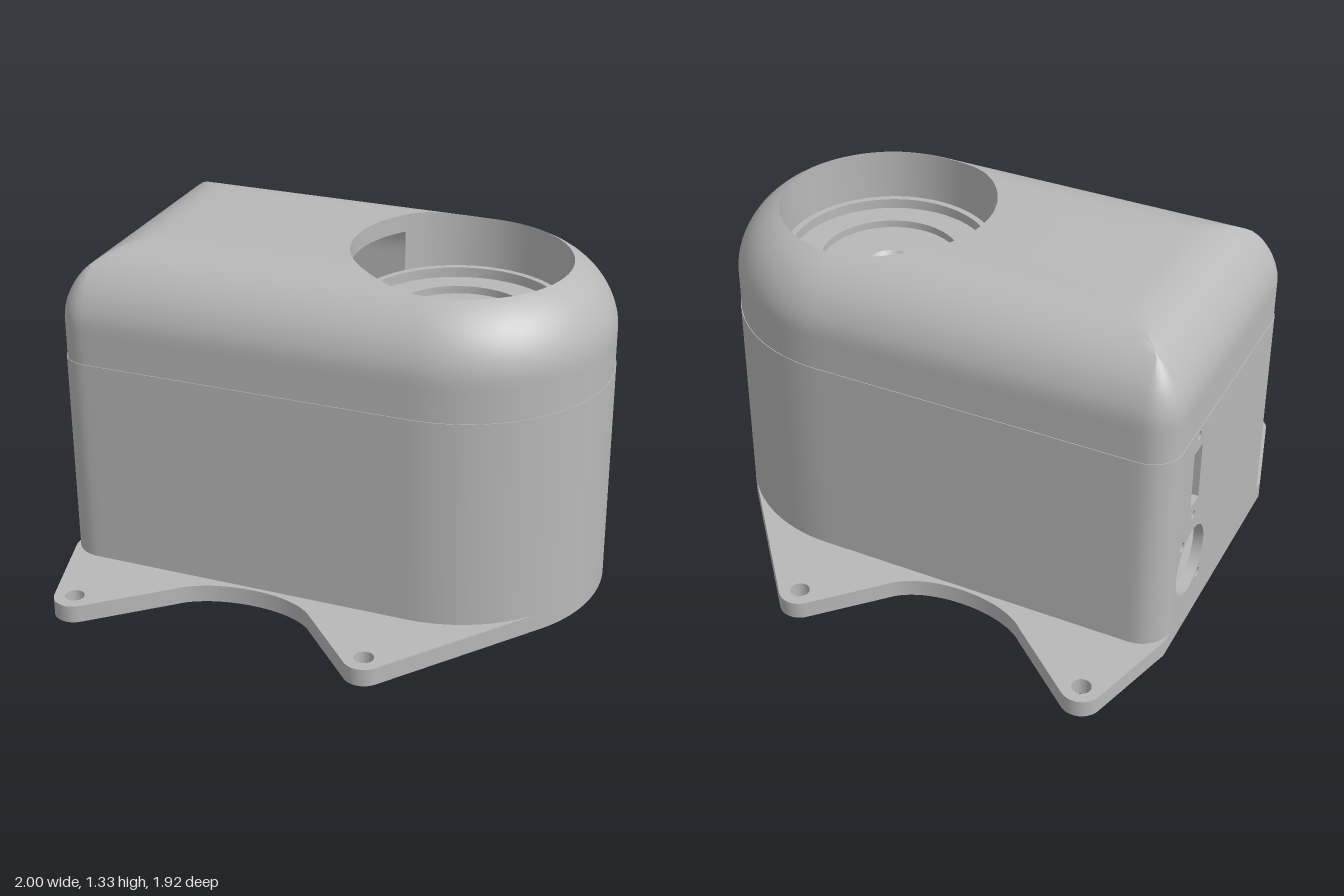
import * as THREE from 'three';
import { toCreasedNormals } from 'three/addons/utils/BufferGeometryUtils.js';

const R = 0.59, CX = 0.41, CORNER = 0.12, FILLET = 0.3, TOP = 1.33, HOLE = 0.415;
const BASE = 0.07, SEAM = 0.9;

// D-shaped plan inset by d, from the left end of the front side round to the back,
// then (if closed) along the square end
function outline(d, closed) {
  const pts = [], r = Math.max(CORNER - d, 0);
  const cx = -1 + d + r, cz = R - d - r;
  const half = [];
  for (let i = 0; i <= 8; i++) {
    const a = (i / 8) * Math.PI / 2;
    half.push([cx - r * Math.cos(a), cz + r * Math.sin(a)]);
  }
  for (let i = 1; i <= 32; i++) half.push([cx + (CX - cx) * i / 32, R - d]);
  for (let i = 1; i <= 24; i++) {
    const a = (i / 24) * Math.PI / 2;
    half.push([CX + (R - d) * Math.sin(a), (R - d) * Math.cos(a)]);
  }
  pts.push(...half, ...half.slice(0, -1).reverse().map(([x, z]) => [x, -z]));
  if (closed) for (let i = 1; i <= 12; i++) pts.push([-1 + d, -cz + 2 * cz * i / 12]);
  return pts;
}

// Height of the rounded top above a point of the plan
function topHeight(x, z) {
  const d = x > CX ? R - Math.hypot(x - CX, z) : Math.min(R - Math.abs(z), x + 1);
  const k = Math.max(FILLET - d, 0);
  return TOP - FILLET + Math.sqrt(Math.max(FILLET * FILLET - k * k, 0));
}

// Skin over a stack of rings with equal point counts
function loft(rings) {
  const n = rings[0].length, index = [];
  for (let k = 0; k + 1 < rings.length; k++)
    for (let i = 0; i + 1 < n; i++) {
      const a = k * n + i, c = a + n;
      index.push(a, a + 1, c, a + 1, c + 1, c);
    }
  const g = new THREE.BufferGeometry();
  g.setAttribute('position', new THREE.Float32BufferAttribute(rings.flat(2), 3));
  g.setIndex(index);
  return toCreasedNormals(g, 0.6);
}

function lidGeometry() {
  const level = (d, y) => outline(d, true).map(([x, z]) => [x, y, z]);
  const rings = [level(0, SEAM), level(0.003, SEAM)];
  const frozen = [];
  // rounded edge, stopped where it meets the round opening
  for (let k = 0; k <= 14; k++) {
    const a = (k / 14) * Math.PI / 2;
    const d = Math.max(0.003, FILLET * (1 - Math.cos(a))), y = TOP - FILLET + FILLET * Math.sin(a);
    rings.push(outline(d, true).map(([x, z], i) => {
      if (frozen[i]) return frozen[i];
      const r = Math.hypot(x - CX, z);
      if (r > HOLE) return [x, y, z];
      const px = CX + (x - CX) * HOLE / r, pz = z * HOLE / r;
      return (frozen[i] = [px, topHeight(px, pz), pz]);
    }));
  }
  // flat top up to the rim, then the lip of the opening
  const rim = rings[rings.length - 1].map(([x, , z]) => {
    const r = Math.hypot(x - CX, z);
    const px = CX + (x - CX) * HOLE / r, pz = z * HOLE / r;
    return [px, topHeight(px, pz), pz];
  });
  rings.push(rim, rim.map(([x, , z]) => [x, 1.26, z]));
  return loft(rings);
}

function circleHole(shape, x, y, r) {
  shape.holes.push(new THREE.Path().absarc(x, y, r, 0, Math.PI * 2, true));
}

function polyHole(shape, pts) {
  shape.holes.push(new THREE.Path(pts.map(([x, y]) => new THREE.Vector2(x, y))));
}

function extrude(shape, depth) {
  const g = new THREE.ExtrudeGeometry(shape, { depth, bevelEnabled: false, curveSegments: 24 });
  return toCreasedNormals(g, 0.6);
}

// Mounting plate with four ears
function baseGeometry() {
  const half = [[-1, 0.53]];
  const arc = (x, y, r, a0, a1, n) => {
    for (let i = 0; i <= n; i++) {
      const a = a0 + (a1 - a0) * i / n;
      half.push([x + r * Math.cos(a), y + r * Math.sin(a)]);
    }
  };
  arc(-0.82, 0.88, 0.08, 2.92, 0.85, 10);
  const bowl = new THREE.CubicBezierCurve(
    new THREE.Vector2(-0.49, 0.705), new THREE.Vector2(-0.37, 0.58),
    new THREE.Vector2(-0.04, 0.57), new THREE.Vector2(0.07, 0.7));
  half.push(...bowl.getPoints(24).map(p => [p.x, p.y]));
  arc(0.355, 0.88, 0.08, 2.36, 0.67, 10);
  arc(CX, 0, R, 0.67, 0, 16);
  const all = [...half, ...half.slice(0, -1).reverse().map(([x, y]) => [x, -y])];
  const shape = new THREE.Shape(all.map(([x, y]) => new THREE.Vector2(x, y)));
  for (const x of [-0.82, 0.355]) for (const y of [-0.88, 0.88]) circleHole(shape, x, y, 0.037);
  // body screw holes
  for (const [x, y] of [[0.93, 0], [CX, 0.535], [CX, -0.535], [-0.52, 0.54], [-0.93, -0.52]])
    circleHole(shape, x, y, 0.03);
  // cable slot and large opening with notched corners
  polyHole(shape, [[-0.025, -0.08], [-0.025, 0.08], [0.105, 0.08], [0.105, -0.08]]);
  const x0 = -0.85, x1 = -0.28, y0 = -0.41, y1 = 0.1, n = 0.06;
  polyHole(shape, [[x0 + n, y0], [x0 + n, y0 + n], [x0, y0 + n], [x0, y1 - n], [x0 + n, y1 - n], [x0 + n, y1],
    [x1 - n, y1], [x1 - n, y1 - n], [x1, y1 - n], [x1, y0 + n], [x1 - n, y0 + n], [x1 - n, y0]]);
  return extrude(shape, BASE).rotateX(-Math.PI / 2);
}

// Square end wall with its connector cutouts
function endWallGeometry() {
  const w = R - CORNER, z = -0.31;
  const shape = new THREE.Shape([[-w, BASE], [w, BASE], [w, SEAM], [-w, SEAM]]
    .map(([x, y]) => new THREE.Vector2(x, y)));
  circleHole(shape, z, 0.295, 0.14);
  for (const s of [-1, 1]) {
    circleHole(shape, z + 0.1 * s, 0.295 - 0.135 * s, 0.02);
    circleHole(shape, z, 0.69 + 0.18 * s, 0.018);
  }
  polyHole(shape, [[z - 0.04, 0.57], [z - 0.04, 0.81], [z + 0.04, 0.81], [z + 0.04, 0.57]]);
  return extrude(shape, 0.04).rotateY(-Math.PI / 2).translate(-0.96, 0, 0);
}

export function createModel() {
  const group = new THREE.Group();
  const grey = new THREE.MeshStandardMaterial({ color: 0xb8b8b8, side: THREE.DoubleSide });
  grey.name = 'grey';
  const add = (name, geometry) => {
    const mesh = new THREE.Mesh(geometry, grey);
    mesh.name = name;
    group.add(mesh);
    return mesh;
  };

  add('basePlate', baseGeometry());
  add('bodyWall', loft([BASE, SEAM].map(y => outline(0, false).map(([x, z]) => [x, y, z]))));
  add('endWall', endWallGeometry());
  add('lid', lidGeometry());

  // Wall of the round well, open towards the square end
  const well = new THREE.CylinderGeometry(HOLE, HOLE, 0.16, 64, 1, true, Math.PI * 1.5 + 0.7, Math.PI * 2 - 1.4);
  add('wellWall', well).position.set(CX, 1.18, 0);

  // Stepped floor of the well with a central countersink
  const profile = [[0, 1.0], [0.06, 1.0], [0.09, 1.04], [0.27, 1.04], [0.27, 1.07], [0.278, 1.07],
    [0.278, 1.06], [0.39, 1.06], [0.39, 1.1], [HOLE, 1.1], [HOLE, 1.04]]
    .map(([r, y]) => new THREE.Vector2(r, y));
  add('wellFloor', toCreasedNormals(new THREE.LatheGeometry(profile, 64), 0.5)).position.x = CX;

  return group;
}
